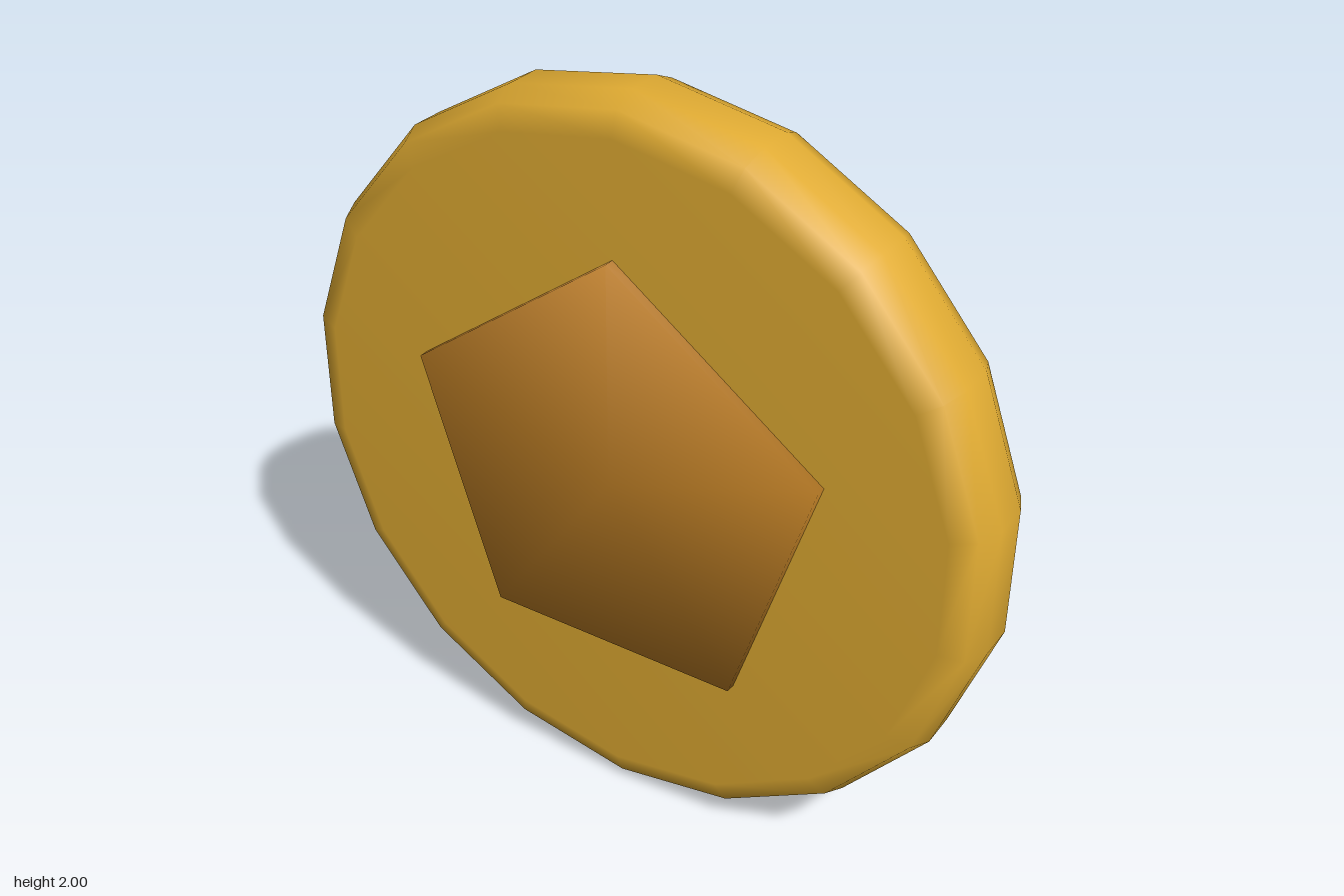
import * as THREE from 'three';
import { mergeVertices } from 'three/addons/utils/BufferGeometryUtils.js';

// Weld all vertices so shading runs smoothly over every edge
function smooth(geometry) {
  geometry.deleteAttribute('uv');
  geometry.deleteAttribute('normal');
  const welded = mergeVertices(geometry, 1e-4);
  welded.computeVertexNormals();
  return welded;
}

export function createModel() {
  const model = new THREE.Group();
  model.name = 'coin';

  const gold = new THREE.MeshStandardMaterial({ color: 0xe0ab32 });
  gold.name = 'gold';
  const bronze = new THREE.MeshStandardMaterial({ color: 0xc08026 });
  bronze.name = 'bronze';

  // Eighteen-sided disc with a rounded rim; half profile mirrored front to back
  const half = [[0, 0.137], [0.91, 0.137], [0.972, 0.114], [1, 0.05]];
  const profile = [
    ...half.map(([r, h]) => new THREE.Vector2(r, -h)),
    ...half.map(([r, h]) => new THREE.Vector2(r, h)).reverse(),
  ];
  const disc = new THREE.Mesh(smooth(new THREE.LatheGeometry(profile, 18).rotateX(-Math.PI / 2)), gold);
  disc.name = 'disc';

  // Raised pentagon passing through the disc, showing on both faces
  const pentagon = new THREE.Mesh(
    smooth(new THREE.CylinderGeometry(0.61, 0.61, 0.33, 5).rotateX(-Math.PI / 2)), bronze);
  pentagon.name = 'pentagonEmblem';

  for (const part of [disc, pentagon]) {
    part.position.y = 1;
    model.add(part);
  }
  return model;
}
